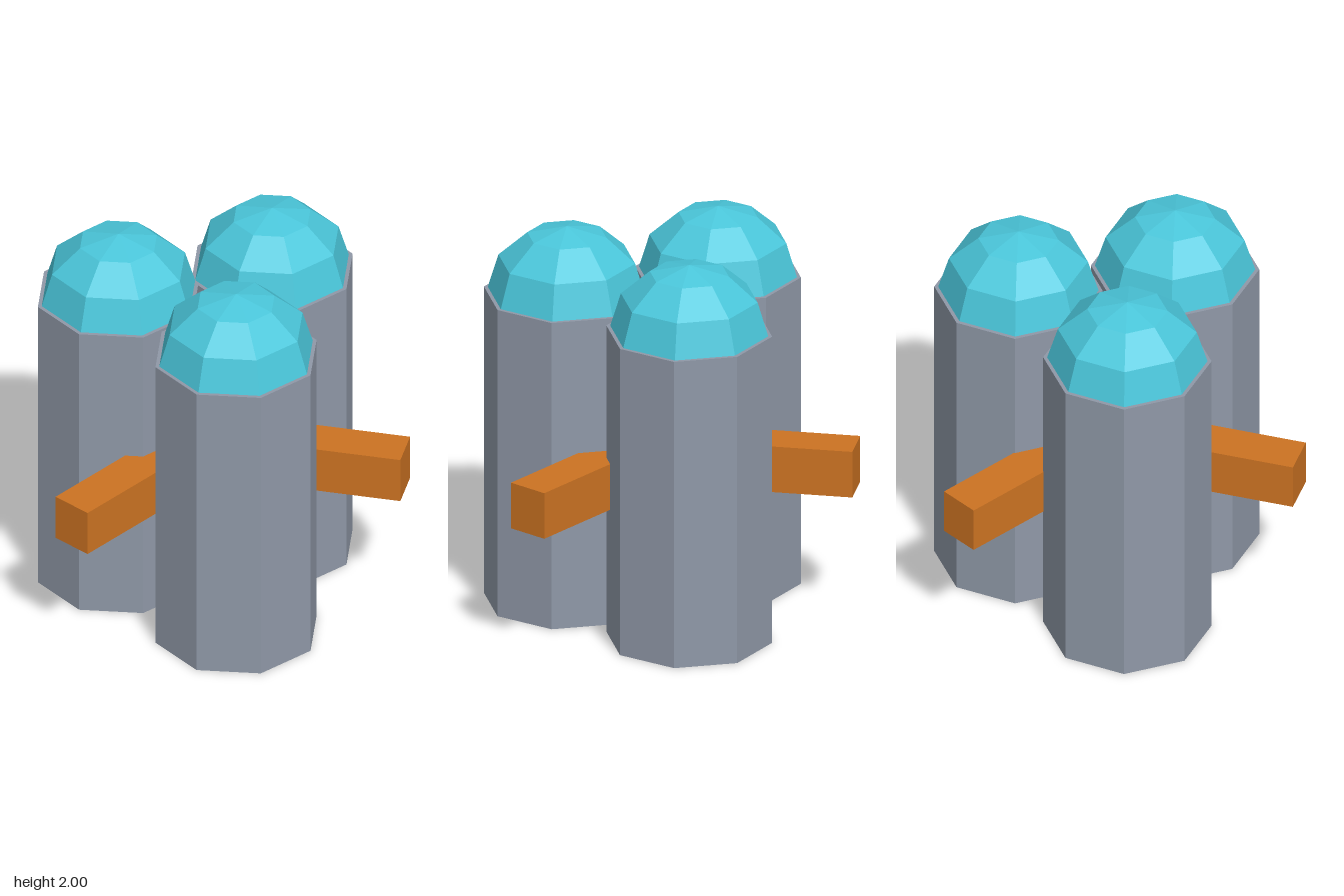
import * as THREE from 'three';

export function createModel() {
  const model = new THREE.Group();
  model.name = 'tripleCapsule';

  const flat = (name, color) => {
    const m = new THREE.MeshStandardMaterial({ color, flatShading: true });
    m.name = name;
    return m;
  };
  const grey = flat('slateGrey', 0x8f98a7);
  const teal = flat('teal', 0x4ac6da);
  const orange = flat('orange', 0xcc7322);

  const add = (parent, name, geometry, material, x, y, z) => {
    const mesh = new THREE.Mesh(geometry, material);
    mesh.name = name;
    mesh.position.set(x, y, z);
    parent.add(mesh);
    return mesh;
  };

  const bodyHeight = 1.645;
  const centreZ = 0.063; // axis of the three-fold arrangement
  const ring = 0.462; // distance of each column from that axis

  const bodyGeo = new THREE.CylinderGeometry(0.42, 0.42, bodyHeight, 8);
  // Low-poly half dome, slightly flattened
  const domeGeo = new THREE.SphereGeometry(0.4, 8, 3, 0, Math.PI * 2, 0, Math.PI / 2);
  domeGeo.scale(1, 0.355 / 0.4, 1);

  // Arm reaches outwards between two columns
  const inner = 0.348, outer = 1.004;
  const armGeo = new THREE.BoxGeometry(0.217, 0.245, outer - inner);
  armGeo.translate(0, 0, (inner + outer) / 2);

  for (let i = 0; i < 3; i++) {
    const a = (i * Math.PI * 2) / 3;

    // Columns keep the same facet orientation
    const column = new THREE.Group();
    column.name = 'column' + (i + 1);
    column.position.set(Math.sin(a) * ring, 0, centreZ + Math.cos(a) * ring);
    add(column, 'columnBody', bodyGeo, grey, 0, bodyHeight / 2, 0);
    add(column, 'columnDome', domeGeo, teal, 0, bodyHeight, 0);
    model.add(column);

    const arm = add(model, 'arm' + (i + 1), armGeo, orange, 0, 0.8125, centreZ);
    arm.rotation.y = a + Math.PI / 3;
  }
  return model;
}
